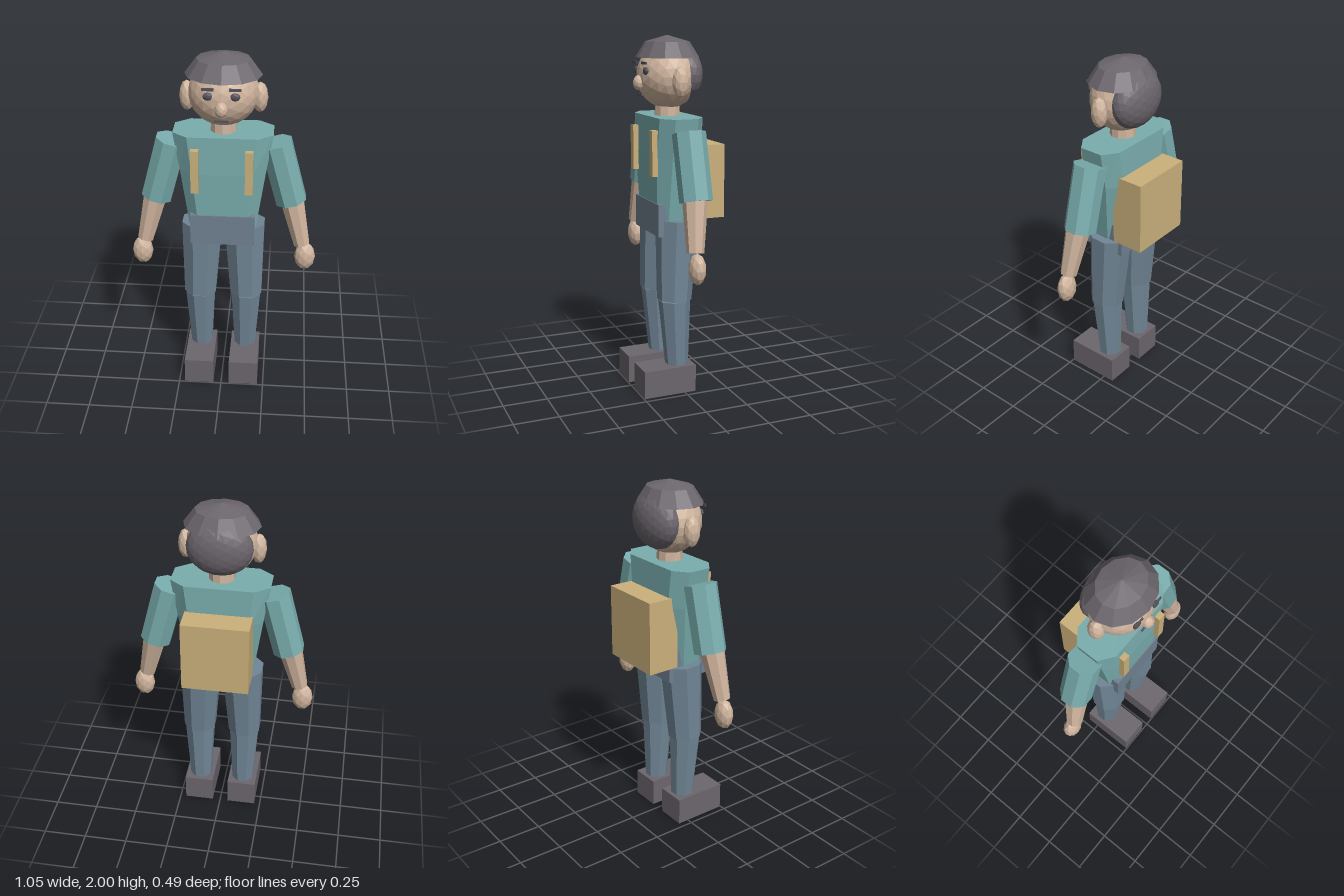
import * as THREE from 'three';

const mat = (name, color) => {
  const m = new THREE.MeshStandardMaterial({ color });
  m.name = name;
  return m;
};

// Gives every face its own normal for a faceted look
function facet(geo) {
  const g = geo.index ? geo.toNonIndexed() : geo;
  g.computeVertexNormals();
  return g;
}

export function createModel() {
  const skin = mat('skin', 0xd0b59e);
  const shirt = mat('shirt teal', 0x7aadae);
  const jeans = mat('jeans blue', 0x718696);
  const belt = mat('hip slate', 0x718090);
  const dark = mat('hair and shoe grey', 0x6c666d);
  const eyeDark = mat('eye grey', 0x55525b);
  const tan = mat('pack tan', 0xcbb07b);

  const model = new THREE.Group();
  model.name = 'hiker';

  const add = (name, geo, material, x = 0, y = 0, z = 0) => {
    const mesh = new THREE.Mesh(facet(geo), material);
    mesh.name = name;
    mesh.position.set(x, y, z);
    model.add(mesh);
    return mesh;
  };
  const box = (name, material, [x, y, z], [w, h, d]) =>
    add(name, new THREE.BoxGeometry(w, h, d), material, x, y, z);
  const ball = (name, material, [x, y, z], [rx, ry, rz], detail = 1) =>
    add(name, new THREE.IcosahedronGeometry(1, detail).scale(rx, ry, rz), material, x, y, z);

  // Eight-sided tapered limb from the upper point to the lower one
  const limb = (name, material, top, bottom, rTop, rBottom) => {
    const a = new THREE.Vector3(...top), b = new THREE.Vector3(...bottom);
    const axis = a.clone().sub(b);
    const k = 1 / Math.cos(Math.PI / 8);
    const geo = new THREE.CylinderGeometry(rTop * k, rBottom * k, axis.length(), 8).rotateY(Math.PI / 8);
    const mid = a.add(b).multiplyScalar(0.5);
    const mesh = add(name, geo, material, mid.x, mid.y, mid.z);
    mesh.quaternion.setFromUnitVectors(new THREE.Vector3(0, 1, 0), axis.normalize());
  };

  // Torso: chamfered cross-sections, wide at the shoulders: [y, half width, front z, back z]
  const sections = [
    [1.565, 0.27, 0.143, -0.108],
    [1.35, 0.235, 0.148, -0.112],
    [0.97, 0.18, 0.135, -0.06],
  ];
  const torso = new THREE.CylinderGeometry(1, 1, 2, 8, 2).rotateY(Math.PI / 8);
  const p = torso.attributes.position;
  for (let i = 0; i < p.count; i++) {
    const x = p.getX(i), z = p.getZ(i);
    const [y, w, front, back] = sections[Math.round(1 - p.getY(i))];
    const centre = Math.hypot(x, z) < 0.1;
    const side = Math.abs(x) > Math.abs(z);
    const px = centre ? 0 : Math.sign(x) * (side ? 1 : 0.7);
    const pz = centre ? 0 : Math.sign(z) * (side ? 0.52 : 1);
    p.setXYZ(i, px * w, y, (front + back) / 2 + pz * (front - back) / 2);
  }
  add('torso', torso, shirt);
  box('hips', belt, [0, 1.005, 0.018], [0.355, 0.18, 0.255]);
  box('backpack', tan, [0, 1.205, -0.153], [0.37, 0.41, 0.184]);

  // Head and neck
  add('neck', new THREE.CylinderGeometry(0.068, 0.073, 0.14, 10), skin, 0, 1.59, 0.022);
  ball('head', skin, [0, 1.78, 0.02], [0.188, 0.18, 0.17], 3);
  ball('nose', skin, [0, 1.745, 0.187], [0.035, 0.043, 0.034]);
  box('mouth', eyeDark, [0, 1.68, 0.182], [0.075, 0.01, 0.008]);

  // Hair: faceted crown plus a rounded back
  const crown = new THREE.LatheGeometry([
    new THREE.Vector2(0, 1.88), new THREE.Vector2(0.205, 1.88),
    new THREE.Vector2(0.143, 1.965), new THREE.Vector2(0, 2),
  ], 12).scale(1, 1, 0.83);
  add('hairCrown', crown, dark, 0, 0, 0.022);
  ball('hairBack', dark, [0, 1.79, -0.067], [0.177, 0.155, 0.097], 3);

  // Mirrored parts
  for (const [s, side] of [[1, 'left'], [-1, 'right']]) {
    ball(side + 'Ear', skin, [s * 0.193, 1.755, 0.022], [0.042, 0.085, 0.047]);
    ball(side + 'Eye', eyeDark, [s * 0.07, 1.812, 0.175], [0.027, 0.022, 0.013]);
    box(side + 'Brow', eyeDark, [s * 0.07, 1.853, 0.184], [0.062, 0.014, 0.008]);
    box(side + 'Strap', tan, [s * 0.146, 1.375, 0.16], [0.043, 0.25, 0.034]);

    limb(side + 'Sleeve', shirt, [s * 0.283, 1.496, 0.014], [s * 0.377, 1.142, 0.012], 0.084, 0.083);
    limb(side + 'Forearm', skin, [s * 0.38, 1.16, 0.02], [s * 0.446, 0.88, 0.045], 0.064, 0.043);
    ball(side + 'Hand', skin, [s * 0.466, 0.798, 0.043], [0.06, 0.087, 0.046]);

    limb(side + 'Thigh', jeans, [s * 0.12, 0.995, 0.013], [s * 0.134, 0.54, 0.035], 0.112, 0.09);
    limb(side + 'Shin', jeans, [s * 0.134, 0.54, 0.035], [s * 0.13, 0.14, 0.018], 0.084, 0.06);
    box(side + 'Shoe', dark, [s * 0.131, 0.079, 0.09], [0.17, 0.158, 0.31]);
  }
  return model;
}
